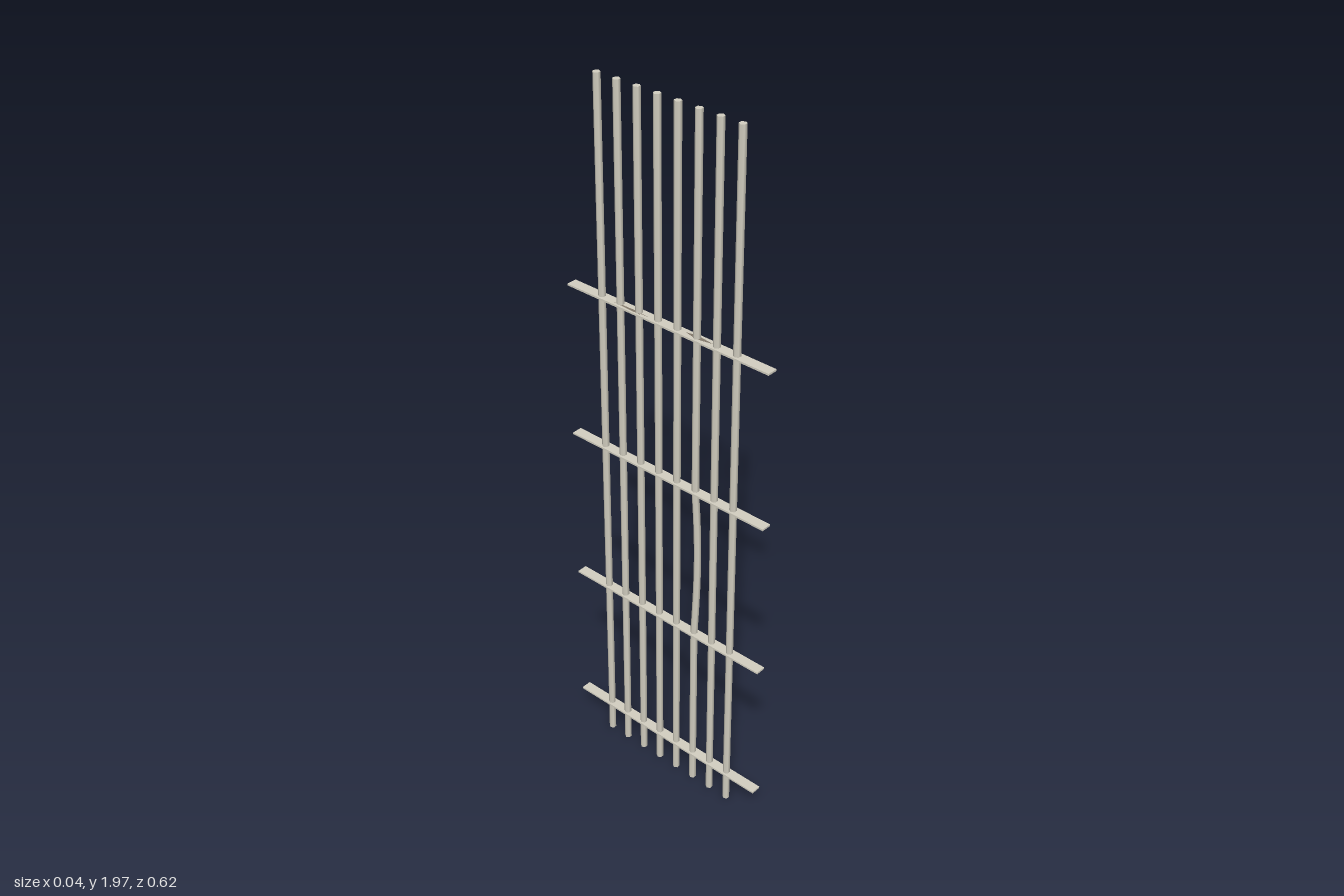
import * as THREE from 'three';

const BAR_X = -0.007, BAR_R = 0.0095, BOTTOM = 0.032, TOP = 2;

export function createModel() {
  const group = new THREE.Group();
  const mat = (name, color) => {
    const m = new THREE.MeshStandardMaterial({ color });
    m.name = name;
    return m;
  };
  const steel = mat('pale steel', 0xd2cec0);
  const rust = mat('dull rust', 0x83796b);

  const add = (name, geometry, material, x, y, z) => {
    const mesh = new THREE.Mesh(geometry, material);
    mesh.name = name;
    mesh.position.set(x, y, z);
    group.add(mesh);
  };

  // Six-sided upright bars; the third from the front is bent between two rails
  const height = TOP - BOTTOM;
  const mid = (TOP + BOTTOM) / 2;
  for (let i = 0; i < 8; i++) {
    const bent = i === 2;
    const bar = new THREE.CylinderGeometry(BAR_R, BAR_R, height, 6, bent ? 64 : 1, false, Math.PI / 6);
    if (bent) {
      const p = bar.attributes.position;
      for (let k = 0; k < p.count; k++) {
        const t = (p.getY(k) + mid - 0.546) / 0.451;
        if (t <= 0 || t >= 1) continue;
        const push = Math.sin(Math.PI * t);
        p.setX(k, p.getX(k) + 0.018 * push);
        p.setZ(k, p.getZ(k) - 0.006 * push);
      }
    }
    add(bent ? 'bentBar' : 'bar', bar, steel, BAR_X, mid, 0.21 - i * 0.06);
  }

  // Flat cross rails
  for (const y of [0.124, 0.546, 0.998, 1.432]) {
    add('crossRail', new THREE.BoxGeometry(0.028, 0.005, 0.625), steel, -0.0065, y, 0);
  }

  // Jagged rust stains lying on the top rail
  const stains = [
    [[-0.015, -0.08], [-0.015, -0.105], [-0.012, -0.165], [-0.009, -0.14], [-0.008, -0.105], [-0.01, -0.06], [-0.012, -0.085]],
    [[-0.012, 0.09], [-0.009, 0.075], [-0.005, 0.055], [-0.002, 0.07], [0.001, 0.092], [-0.002, 0.115], [-0.004, 0.134], [-0.009, 0.112]],
  ];
  for (const outline of stains) {
    const shape = new THREE.Shape(outline.map(([x, z]) => new THREE.Vector2(x, -z)));
    const stain = new THREE.ExtrudeGeometry(shape, { depth: 0.0006, bevelEnabled: false });
    stain.rotateX(-Math.PI / 2);
    add('railStain', stain, rust, 0, 1.4343, 0);
  }

  // Small rust chips on the bars: height, z and half length
  const chips = [[1.15, 0.21, 0.02], [1.27, 0.15, 0.02], [1.055, -0.15, 0.015],
    [0.65, -0.09, 0.015], [1.7, 0.09, 0.05]];
  for (const [y, z, half] of chips) {
    const chip = new THREE.OctahedronGeometry(1);
    chip.scale(0.0015, half, 0.004);
    add('barChip', chip, rust, BAR_X + BAR_R - 0.0005, y, z);
  }
  return group;
}
